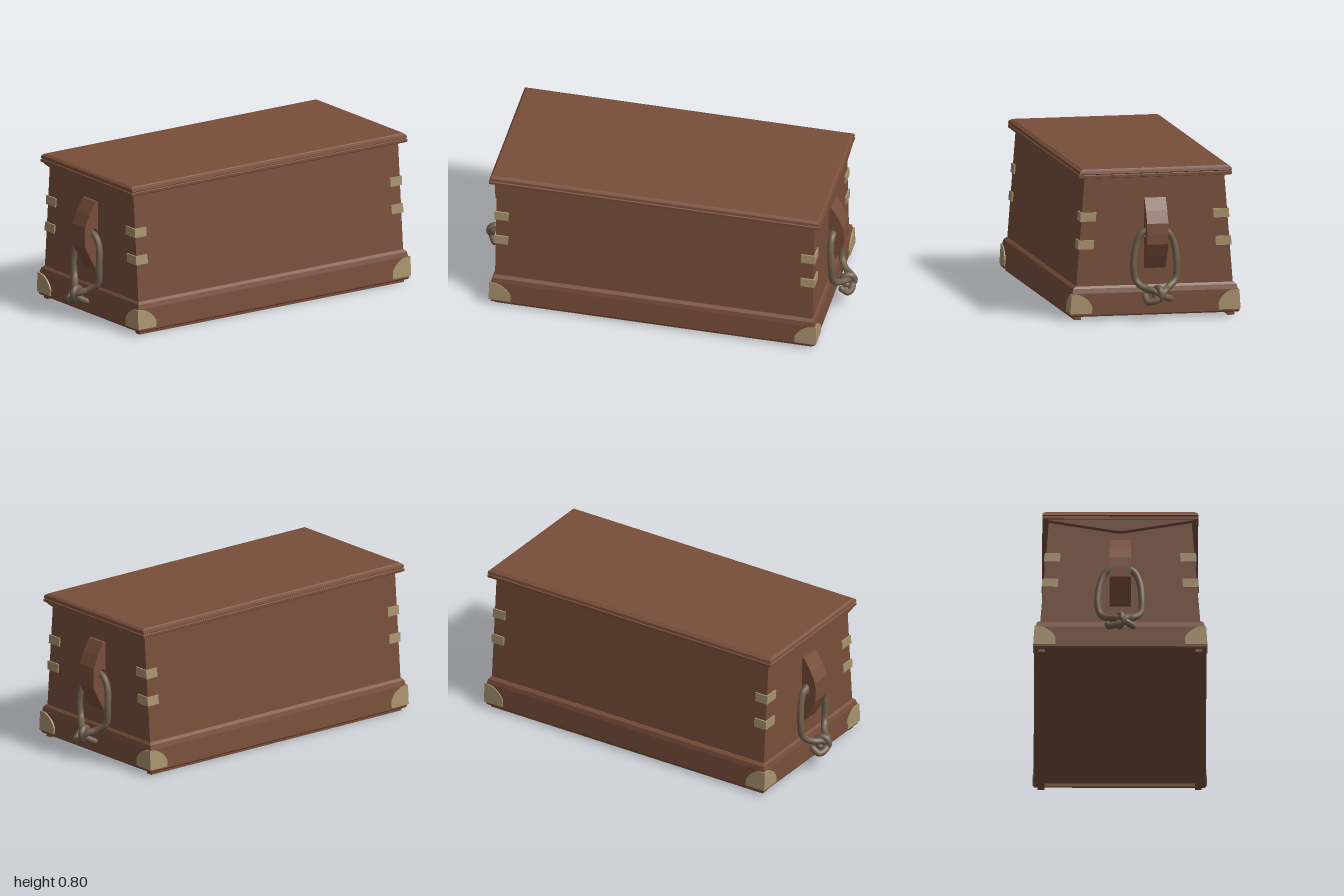
import * as THREE from 'three';

const mat = (name, color, side = THREE.FrontSide) => new THREE.MeshStandardMaterial({ name, color, side });

// Stack of rectangles [y, halfX, halfZ] joined by flat faces and capped at both ends
function rectLoft(rings) {
  const pos = [];
  const corners = ([y, x, z]) => [[x, y, z], [x, y, -z], [-x, y, -z], [-x, y, z]];
  const quad = (a, b, c, d) => pos.push(...a, ...b, ...c, ...a, ...c, ...d);
  for (let i = 0; i < rings.length - 1; i++) {
    const lo = corners(rings[i]), hi = corners(rings[i + 1]);
    for (let k = 0; k < 4; k++) {
      const n = (k + 1) % 4;
      quad(lo[k], lo[n], hi[n], hi[k]);
    }
  }
  quad(...corners(rings[0]).reverse());
  quad(...corners(rings[rings.length - 1]));
  const g = new THREE.BufferGeometry();
  g.setAttribute('position', new THREE.Float32BufferAttribute(pos, 3));
  g.computeVertexNormals();
  return g;
}

// Half width of the leaning side walls at a given height
const bodyHalf = y => 0.422 - 0.0787 * (y - 0.15);
const baseHalf = y => 0.452 - 0.067 * (y - 0.02);

// Moves a part whose x is measured from the wall so that it follows the lean
function followWall(g, half) {
  const p = g.attributes.position;
  for (let i = 0; i < p.count; i++) p.setX(i, p.getX(i) + half(p.getY(i)));
  g.computeVertexNormals();
  return g;
}

const polygon = pts => new THREE.Shape(pts.map(p => new THREE.Vector2(...p)));
const extrude = (shape, depth) => new THREE.ExtrudeGeometry(shape, { depth, bevelEnabled: false, curveSegments: 8 });

export function createModel() {
  const root = new THREE.Group();
  root.name = 'chest';
  const wood = mat('brown wood', 0x784e3a);
  const metal = mat('pale brass', 0xa8936f);
  const rope = mat('rope', 0x6e5d4a);
  const add = (parent, name, geo, material) => {
    const m = new THREE.Mesh(geo, material);
    m.name = name;
    parent.add(m);
    return m;
  };

  // Body, base with recessed underside, and lid
  add(root, 'body', rectLoft([[0.15, 0.422, 0.855], [0.76, 0.374, 0.855]]), wood);
  add(root, 'base', rectLoft([
    [0.035, 0.43, 0.852], [0.018, 0.43, 0.852], [0.018, 0.447, 0.868], [0.026, 0.452, 0.872],
    [0.14, 0.444, 0.872], [0.165, 0.438, 0.866], [0.177, 0.424, 0.857],
  ]), wood);
  add(root, 'lid', rectLoft([
    [0.75, 0.4, 0.882], [0.755, 0.409, 0.89], [0.768, 0.409, 0.89], [0.772, 0.403, 0.885],
    [0.776, 0.409, 0.89], [0.79, 0.406, 0.887], [0.796, 0.395, 0.88], [0.8, 0.39, 0.876],
  ]), wood);

  // Runners under the long sides
  for (const s of [-1, 1]) {
    const runner = add(root, 'runner', new THREE.BoxGeometry(0.036, 0.035, 1.71), wood);
    runner.position.set(s * 0.412, 0.0175, 0);
  }

  // Corner fittings, mirrored to all four corners
  const cornerShape = new THREE.Shape();
  cornerShape.moveTo(0.006, 0.035);
  cornerShape.lineTo(0.006, 0.14);
  cornerShape.lineTo(-0.035, 0.136);
  cornerShape.quadraticCurveTo(-0.09, 0.115, -0.11, 0.07);
  cornerShape.lineTo(-0.11, 0.035);
  const capEnd = followWall(extrude(cornerShape, 0.014).translate(0, 0, 0.867), baseHalf);
  const capSide = followWall(extrude(cornerShape, 0.01).rotateY(-Math.PI / 2).translate(0.006, 0, 0.875), baseHalf);
  for (const sx of [-1, 1]) for (const sz of [-1, 1]) {
    const corner = new THREE.Group();
    corner.name = 'cornerFittings';
    corner.scale.set(sx, 1, sz);
    root.add(corner);
    add(corner, 'baseCornerEnd', capEnd, metal);
    add(corner, 'baseCornerSide', capSide, metal);
    for (const y of [0.398, 0.545]) {
      const end = new THREE.BoxGeometry(0.084, 0.048, 0.009).translate(-0.034, y, 0.8585);
      const side = new THREE.BoxGeometry(0.009, 0.048, 0.075).translate(0.0035, y, 0.8255);
      add(corner, 'bracketEnd', followWall(end, bodyHalf), metal);
      add(corner, 'bracketSide', followWall(side, bodyHalf), metal);
    }
  }

  // Pointed trim, handle cleat and knotted rope, repeated on both ends
  const trim = extrude(polygon([[-0.39, 0.755], [-0.375, 0.747], [-0.03, 0.688], [0, 0.685],
    [0.03, 0.688], [0.375, 0.747], [0.39, 0.755]]), 0.04).translate(0, 0, 0.847);

  const cleatShape = polygon([[0.85, 0.265], [0.866, 0.265], [0.905, 0.335], [0.938, 0.4],
    [0.94, 0.45], [0.938, 0.51], [0.91, 0.575], [0.872, 0.64], [0.85, 0.64]]);
  cleatShape.holes.push(new THREE.Path().absellipse(0.88, 0.463, 0.022, 0.032, 0, Math.PI * 2, true));
  const cleat = extrude(cleatShape, 0.114).rotateY(-Math.PI / 2).translate(0.057, 0, 0);

  const path = [
    [-0.066, 0.125, 0.93], [-0.055, 0.1, 0.962], [-0.01, 0.11, 0.975], [0.03, 0.15, 0.96],
    [0.06, 0.168, 0.92], [0.103, 0.205, 0.892], [0.112, 0.3, 0.888], [0.095, 0.41, 0.877],
    [0.06, 0.46, 0.879], [-0.06, 0.46, 0.879], [-0.092, 0.42, 0.877], [-0.119, 0.28, 0.888],
    [-0.103, 0.2, 0.892], [-0.06, 0.165, 0.92], [-0.015, 0.152, 0.95], [0.03, 0.127, 0.96], [0.066, 0.112, 0.94],
  ].map(p => new THREE.Vector3(...p));
  const ropeGeo = new THREE.TubeGeometry(new THREE.CatmullRomCurve3(path), 120, 0.018, 10);
  const wrapGeo = new THREE.TorusGeometry(0.031, 0.018, 10, 24).rotateY(Math.PI / 2 + 0.3);
  const tipGeo = new THREE.SphereGeometry(0.018, 10, 8);

  for (const turn of [0, Math.PI]) {
    const end = new THREE.Group();
    end.name = turn ? 'backHandle' : 'frontHandle';
    end.rotation.y = turn;
    root.add(end);
    add(end, 'lidTrim', trim, wood);
    add(end, 'cleat', cleat, wood);
    add(end, 'ropeLoop', ropeGeo, rope);
    add(end, 'knotWrap', wrapGeo, rope).position.set(0, 0.14, 0.951);
    for (const p of [path[0], path[path.length - 1]]) add(end, 'ropeTip', tipGeo, rope).position.copy(p);
  }
  return root;
}
